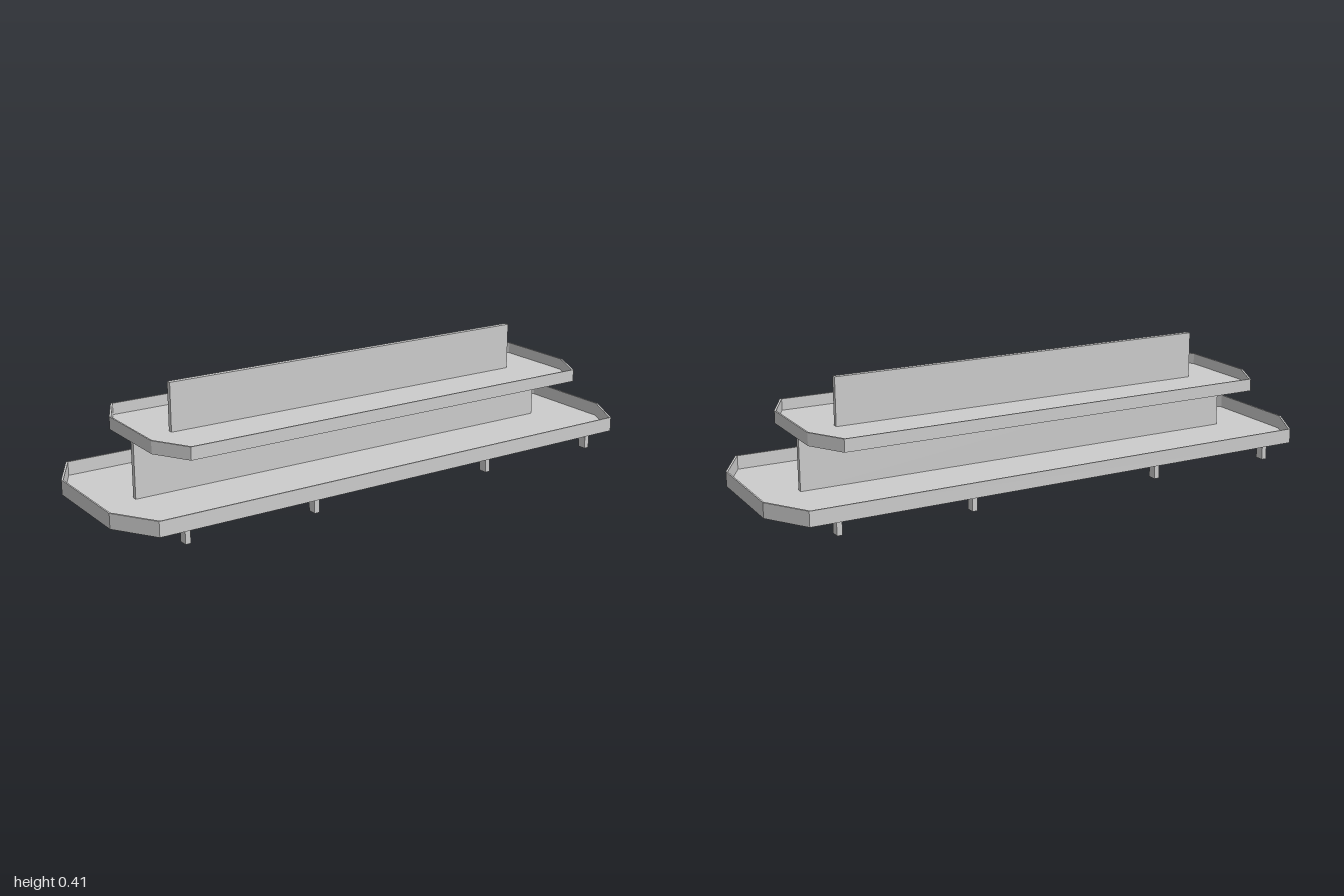
import * as THREE from 'three';

const grey = new THREE.MeshStandardMaterial({ color: 0xcccccc, flatShading: true });
grey.name = 'plain grey';

// Octagon outline from its right half; the other half is the same turned by 180 degrees
function outline(half) {
  return [...half, ...half.map(([x, z]) => [-x, -z])].map(([x, z]) => new THREE.Vector2(x, -z));
}

// Extrudes a plan shape upwards from y
function slab(shape, y, height, name) {
  const geometry = new THREE.ExtrudeGeometry(shape, { depth: height, bevelEnabled: false });
  geometry.rotateX(-Math.PI / 2);
  const mesh = new THREE.Mesh(geometry, grey);
  mesh.position.y = y;
  mesh.name = name;
  return mesh;
}

function box(name, x0, x1, y0, y1, z0, z1) {
  const mesh = new THREE.Mesh(new THREE.BoxGeometry(x1 - x0, y1 - y0, z1 - z0), grey);
  mesh.position.set((x0 + x1) / 2, (y0 + y1) / 2, (z0 + z1) / 2);
  mesh.name = name;
  return mesh;
}

// Shallow tray: thin floor with a thin upright rim
function tray(name, half, y0, y1) {
  const group = new THREE.Group();
  group.name = name;
  const points = outline(half);
  const rim = new THREE.Shape(points);
  const inset = points.map((p) => new THREE.Vector2(p.x - Math.sign(p.x) * 0.005, p.y - Math.sign(p.y) * 0.005));
  rim.holes.push(new THREE.Path(inset));
  group.add(slab(new THREE.Shape(inset), y0, 0.004, name + 'Floor'));
  group.add(slab(rim, y0, y1 - y0, name + 'Rim'));
  return group;
}

export function createModel() {
  const model = new THREE.Group();
  model.name = 'tieredShelf';

  // Two trays
  model.add(tray('lowerTray', [[0.917, 0.325], [1, 0.17], [1, -0.187], [0.907, -0.331]], 0.047, 0.098));
  model.add(tray('upperTray', [[0.771, 0.273], [0.838, 0.14], [0.838, -0.157], [0.767, -0.278]], 0.245, 0.288));

  // Upright panels along the middle
  model.add(box('lowerPanel', -0.828, 0.814, 0.049, 0.247, -0.009, 0.009));
  model.add(box('upperPanel', -0.694, 0.685, 0.247, 0.413, -0.009, 0.009));

  // Feet in two rows of four
  for (const x of [-0.808, -0.348, 0.348, 0.808]) {
    for (const z of [-0.303, 0.303]) {
      model.add(box('foot', x - 0.009, x + 0.009, 0, 0.048, z - 0.016, z + 0.016));
    }
  }
  return model;
}
